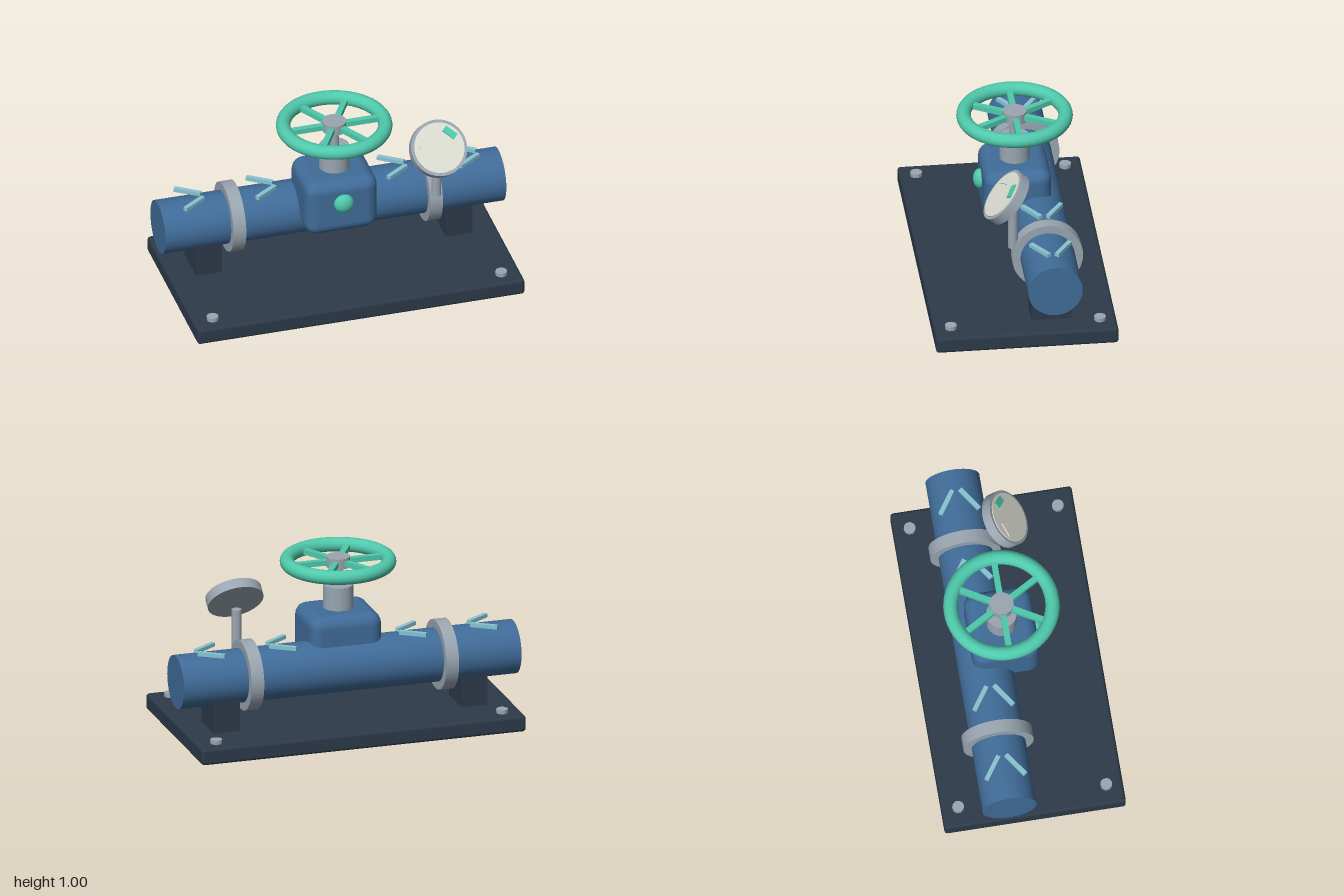
import * as THREE from 'three';
import { RoundedBoxGeometry } from 'three/addons/geometries/RoundedBoxGeometry.js';

const mat = (name, color) => {
  const m = new THREE.MeshStandardMaterial({ color });
  m.name = name;
  return m;
};

export function createModel() {
  const model = new THREE.Group();
  model.name = 'pipeValve';
  const blue = mat('pipeBlue', 0x406c99);
  const dark = mat('darkSlate', 0x2d3a4a);
  const steel = mat('steel', 0x9aa6b1);
  const green = mat('handleGreen', 0x4fc9ab);
  const cream = mat('dialCream', 0xdcddd2);
  const pale = mat('arrowBlue', 0x86c3d2);

  const add = (name, geometry, material, x, y, z, parent = model) => {
    const mesh = new THREE.Mesh(geometry, material);
    mesh.name = name;
    mesh.position.set(x, y, z);
    parent.add(mesh);
    return mesh;
  };
  const box = (w, h, d) => new THREE.BoxGeometry(w, h, d);
  const cyl = (r, h, n = 40) => new THREE.CylinderGeometry(r, r, h, n);

  // Base plate with corner bolts
  add('base', new RoundedBoxGeometry(1.92, 0.096, 1.036, 2, 0.018), dark, 0, 0.048, 0);
  for (const sx of [-1, 1]) for (const sz of [-1, 1])
    add('bolt', cyl(0.034, 0.034, 10), steel, sx * 0.847, 0.102, sz * 0.423);

  // Pipe with its supports and flanges
  const py = 0.387, pz = -0.154;
  add('pipe', cyl(0.154, 2, 48), blue, 0, py, pz).rotation.z = Math.PI / 2;
  for (const s of [-1, 1]) {
    add('support', box(0.154, 0.2, 0.23), dark, s * 0.734, 0.187, pz);
    add('flange', cyl(0.201, 0.075, 48), steel, s * 0.577, py, pz).rotation.z = Math.PI / 2;
  }

  // Flow arrows along the top of the pipe
  for (const x of [-0.807, -0.385, 0.385, 0.807])
    for (const s of [-1, 1])
      add('flowArrow', box(0.158, 0.022, 0.026), pale, x, 0.55, pz + s * 0.066).rotation.y = s * 0.6;

  // Valve body, front button, bonnet and stem
  const vz = -0.037;
  add('valveBody', new RoundedBoxGeometry(0.423, 0.343, 0.383, 3, 0.07), blue, 0, 0.521, vz);
  add('frontButton', new THREE.SphereGeometry(0.057, 28, 18), green, 0, 0.56, 0.16).scale.z = 0.68;
  add('bonnet', cyl(0.086, 0.16), steel, 0, 0.748, vz);
  add('valveStem', cyl(0.028, 0.2, 24), steel, 0, 0.88, vz);

  // Handwheel
  const wheel = new THREE.Group();
  wheel.name = 'handwheel';
  wheel.position.set(0, 0.964, vz);
  model.add(wheel);
  add('rim', new THREE.TorusGeometry(0.288, 0.041, 16, 56), green, 0, 0, 0, wheel).rotation.x = Math.PI / 2;
  for (let i = 0; i < 6; i++) {
    const a = i * Math.PI / 3;
    add('spoke', box(0.25, 0.03, 0.034), green, Math.cos(a) * 0.155, 0, Math.sin(a) * 0.155, wheel).rotation.y = -a;
  }
  add('hub', cyl(0.068, 0.06, 20), steel, 0, 0, 0, wheel);

  // Gauge on its post, tilted upward
  add('gaugePost', cyl(0.028, 0.267, 24), steel, 0.577, 0.579, 0.039);
  const gauge = new THREE.Group();
  gauge.name = 'gauge';
  gauge.position.set(0.577, 0.771, 0.076);
  gauge.rotation.x = -0.71;
  model.add(gauge);
  add('gaugeCase', cyl(0.162, 0.06, 48), steel, 0, 0, 0, gauge).rotation.x = Math.PI / 2;
  add('gaugeDial', cyl(0.145, 0.006, 48), cream, 0, 0, 0.032, gauge).rotation.x = Math.PI / 2;
  add('gaugeNeedle', box(0.085, 0.035, 0.008), cream, -0.08, 0.045, 0.037, gauge).rotation.z = 0.58;
  add('gaugeMark', box(0.08, 0.038, 0.009), green, 0.075, 0.076, 0.0395, gauge).rotation.z = -0.77;

  return model;
}
